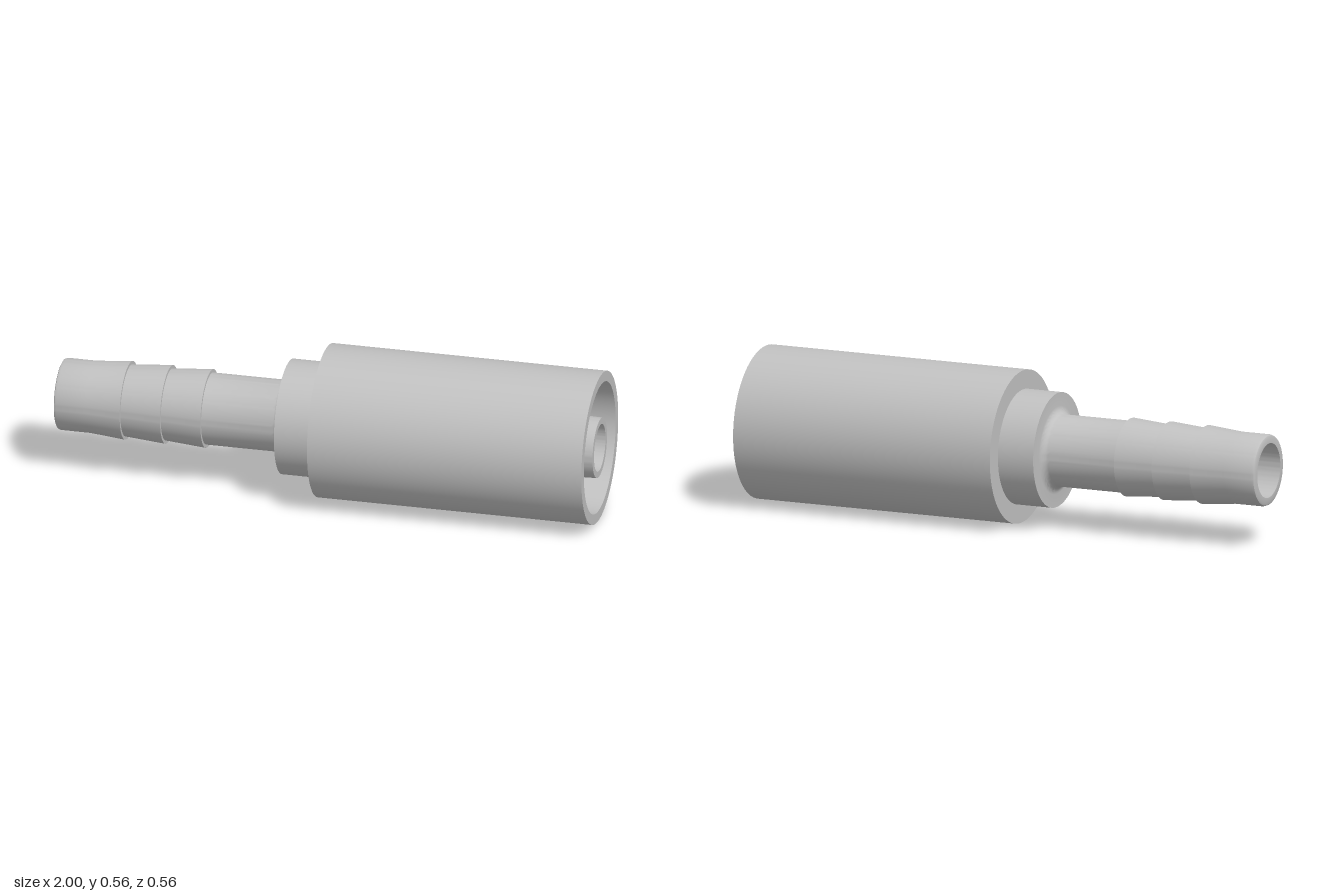
import * as THREE from 'three';
import { toCreasedNormals } from 'three/addons/utils/BufferGeometryUtils.js';

const AXIS_HEIGHT = 0.28;

// Closed [radius, x] profile turned about the x axis; outer side runs toward +x
function turned(name, profile, material) {
  const points = [...profile, profile[0]].map(([r, x]) => new THREE.Vector2(r, x));
  const geometry = new THREE.LatheGeometry(points, 96).rotateZ(-Math.PI / 2);
  const mesh = new THREE.Mesh(toCreasedNormals(geometry, 0.5), material);
  mesh.name = name;
  mesh.position.y = AXIS_HEIGHT;
  return mesh;
}

// Concave quarter fillet from the pipe up to the collar face
function fillet(r, x, size, steps = 6) {
  return Array.from({ length: steps + 1 }, (_, i) => {
    const a = (i / steps) * Math.PI / 2;
    return [r + size * (1 - Math.cos(a)), x - size + size * Math.sin(a)];
  });
}

export function createModel() {
  const steel = new THREE.MeshStandardMaterial({ color: 0xc0c0c0 });
  steel.name = 'steel grey';

  // Barbs: each rises toward +x and drops back in a sharp step
  const barbs = [];
  for (const [start, end] of [[-0.88, -0.75], [-0.75, -0.6], [-0.6, -0.45]]) {
    barbs.push([0.131, start], [0.143, end]);
  }

  // Stem: rounded nose, barbs, neck, collar, inner nipple and through bore
  const stem = turned('barbedStem', [
    [0.1, -1], [0.122, -1], [0.128, -0.997], [0.131, -0.988],
    ...barbs,
    [0.131, -0.45],
    ...fillet(0.131, -0.16, 0.03),
    [0.21, -0.16], [0.21, 0],
    [0.137, 0], [0.11, 1],
    [0.087, 1], [0.087, -0.2], [0.1, -0.2],
  ], steel);

  // Ferrule: straight outside, slightly flared inside
  const ferrule = turned('ferrule', [
    [0.205, -0.02], [0.28, -0.02], [0.28, 1], [0.242, 1], [0.21, 0], [0.205, 0],
  ], steel);

  const model = new THREE.Group();
  model.name = 'hoseFitting';
  model.add(stem, ferrule);
  return model;
}
